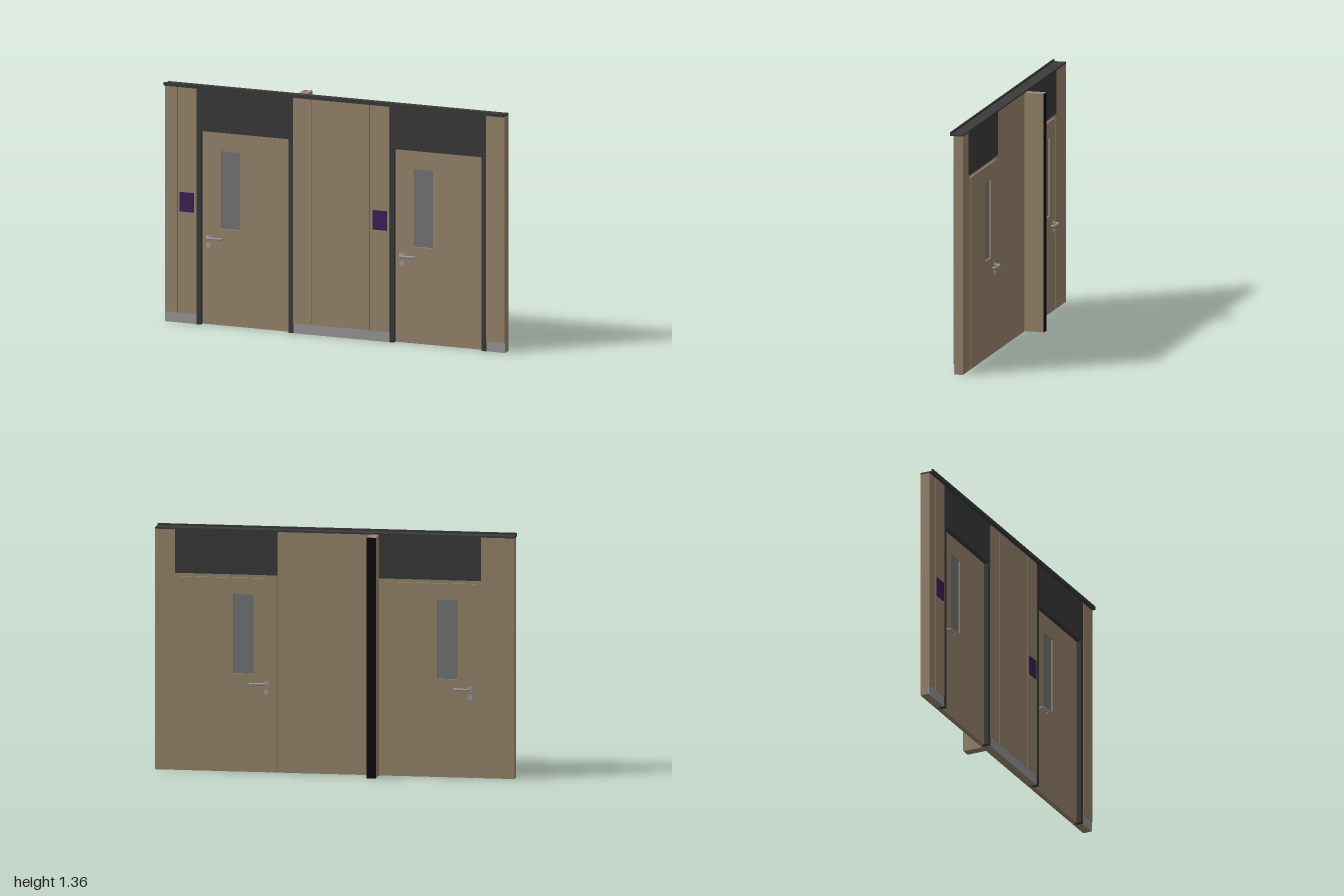
import * as THREE from 'three';

const material = (name, color) => {
  const m = new THREE.MeshStandardMaterial({ color });
  m.name = name;
  return m;
};

export function createModel() {
  const tan = material('tan panel', 0x9a876e);
  const dark = material('dark trim', 0x3b3b3b);
  const black = material('black end', 0x0a0a0a);
  const grey = material('grey skirting', 0x9b9b9b);
  const glass = material('grey glass', 0x777878);
  const purple = material('purple sign', 0x402059);
  const steel = material('steel', 0x9da0a4);

  const model = new THREE.Group();
  model.name = 'doorWall';
  const H = 1.337, BACK = 0.018, FRONT = 0.073, CORE = 0.063, SKIRT = 0.057;

  // Box given by its limits on each axis
  const box = (name, mat, x0, x1, y0, y1, z0, z1, parent = model) => {
    const mesh = new THREE.Mesh(new THREE.BoxGeometry(x1 - x0, y1 - y0, z1 - z0), mat);
    mesh.position.set((x0 + x1) / 2, (y0 + y1) / 2, (z0 + z1) / 2);
    mesh.name = name;
    parent.add(mesh);
    return mesh;
  };

  // Wall sections: solid core, cladding split by grooves, recessed skirting
  const sections = [[-1, -0.925, -0.815], [-0.245, -0.138, 0.205, 0.32], [0.89, 1]];
  for (const edges of sections) {
    const a = edges[0], b = edges[edges.length - 1], gap = 0.003;
    box('wallCore', tan, a, b, 0, H, BACK, CORE);
    box('skirting', grey, a, b, 0, SKIRT, CORE, 0.07);
    for (let i = 0; i < edges.length - 1; i++) {
      const l = edges[i] + (i > 0 ? gap : 0);
      const r = edges[i + 1] - (i < edges.length - 2 ? gap : 0);
      box('claddingPanel', tan, l, r, SKIRT, H, CORE, FRONT);
    }
  }

  // Partition stub at the back with a black end face
  box('partition', tan, -0.247, -0.195, 0, H, -0.09, BACK);
  box('partitionEnd', black, -0.247, -0.195, 0, H, -0.093, -0.09);

  // Top rail with a raised front lip
  box('topRail', dark, -1, 1, H, 1.346, BACK, 0.086);
  box('topRailLip', dark, -1, 1, H, 1.357, 0.085, 0.093);

  // Flat panel with a rectangular window hole
  const leaf = (x0, x1, y1, win, z0, z1) => {
    const s = new THREE.Shape();
    s.moveTo(x0, 0).lineTo(x1, 0).lineTo(x1, y1).lineTo(x0, y1).closePath();
    const h = new THREE.Path();
    h.moveTo(win[0], win[2]).lineTo(win[0], win[3]).lineTo(win[1], win[3]).lineTo(win[1], win[2]).closePath();
    s.holes.push(h);
    const g = new THREE.ExtrudeGeometry(s, { depth: z1 - z0, bevelEnabled: false });
    g.translate(0, 0, z0);
    return g;
  };

  // Lever handle with two rosettes; built facing +z from the door face
  const makeHandle = () => {
    const group = new THREE.Group();
    group.name = 'handle';
    for (const y of [0, -0.046]) {
      const rose = new THREE.Mesh(new THREE.CylinderGeometry(0.015, 0.015, 0.004, 24), steel);
      rose.rotation.x = Math.PI / 2;
      rose.position.set(0, y, 0.001);
      rose.name = y === 0 ? 'handleRosette' : 'keyRosette';
      group.add(rose);
    }
    const path = new THREE.CurvePath();
    const v = (x, z) => new THREE.Vector3(x, 0, z);
    path.add(new THREE.LineCurve3(v(0, 0), v(0, 0.022)));
    path.add(new THREE.QuadraticBezierCurve3(v(0, 0.022), v(0, 0.03), v(0.008, 0.03)));
    path.add(new THREE.LineCurve3(v(0.008, 0.03), v(0.077, 0.03)));
    path.add(new THREE.QuadraticBezierCurve3(v(0.077, 0.03), v(0.085, 0.03), v(0.085, 0.022)));
    path.add(new THREE.LineCurve3(v(0.085, 0.022), v(0.085, 0.012)));
    const lever = new THREE.Mesh(new THREE.TubeGeometry(path, 48, 0.006, 10), steel);
    lever.name = 'lever';
    group.add(lever);
    const tip = new THREE.Mesh(new THREE.CircleGeometry(0.006, 10), steel);
    tip.rotation.y = Math.PI;
    tip.position.set(0.085, 0, 0.012);
    tip.name = 'leverTip';
    group.add(tip);
    return group;
  };

  // One doorway: frame, panel above, leaf, window, handles
  const addDoor = (x) => {
    const door = new THREE.Group();
    door.name = 'doorway';
    const W = 0.568, F = 0.026, TOP = 1.095, MID = 0.03, FACE = 0.046;
    for (const l of [0, W - F]) {
      box('framePost', dark, l, l + F, 0, TOP, MID, FRONT, door);
      box('frameBack', tan, l, l + F, 0, TOP, BACK, MID, door);
    }
    box('overPanel', dark, 0, W, TOP, H, BACK, FRONT, door);
    box('frameBackHead', tan, F, W - F, 1.084, TOP, BACK, MID, door);

    const win = [0.133, 0.246, 0.545, 0.985];
    const front = new THREE.Mesh(leaf(F, W - F, TOP, win, MID, FACE), tan);
    front.name = 'doorLeafFront';
    const back = new THREE.Mesh(leaf(F + 0.007, W - F - 0.007, 1.076, win, BACK, MID), tan);
    back.name = 'doorLeafBack';
    door.add(front, back);
    box('window', glass, win[0], win[1], win[2], win[3], 0.029, 0.036, door);

    const outer = makeHandle();
    outer.position.set(0.062, 0.493, FACE);
    const inner = makeHandle();
    inner.position.set(0.062, 0.493, BACK);
    inner.scale.z = -1;
    door.add(outer, inner);

    // Sign on the wall beside the door
    box('signPlate', purple, -0.099, -0.015, 0.63, 0.74, FRONT, FRONT + 0.004, door);
    door.position.x = x;
    model.add(door);
  };
  addDoor(-0.815);
  addDoor(0.321);

  return model;
}
